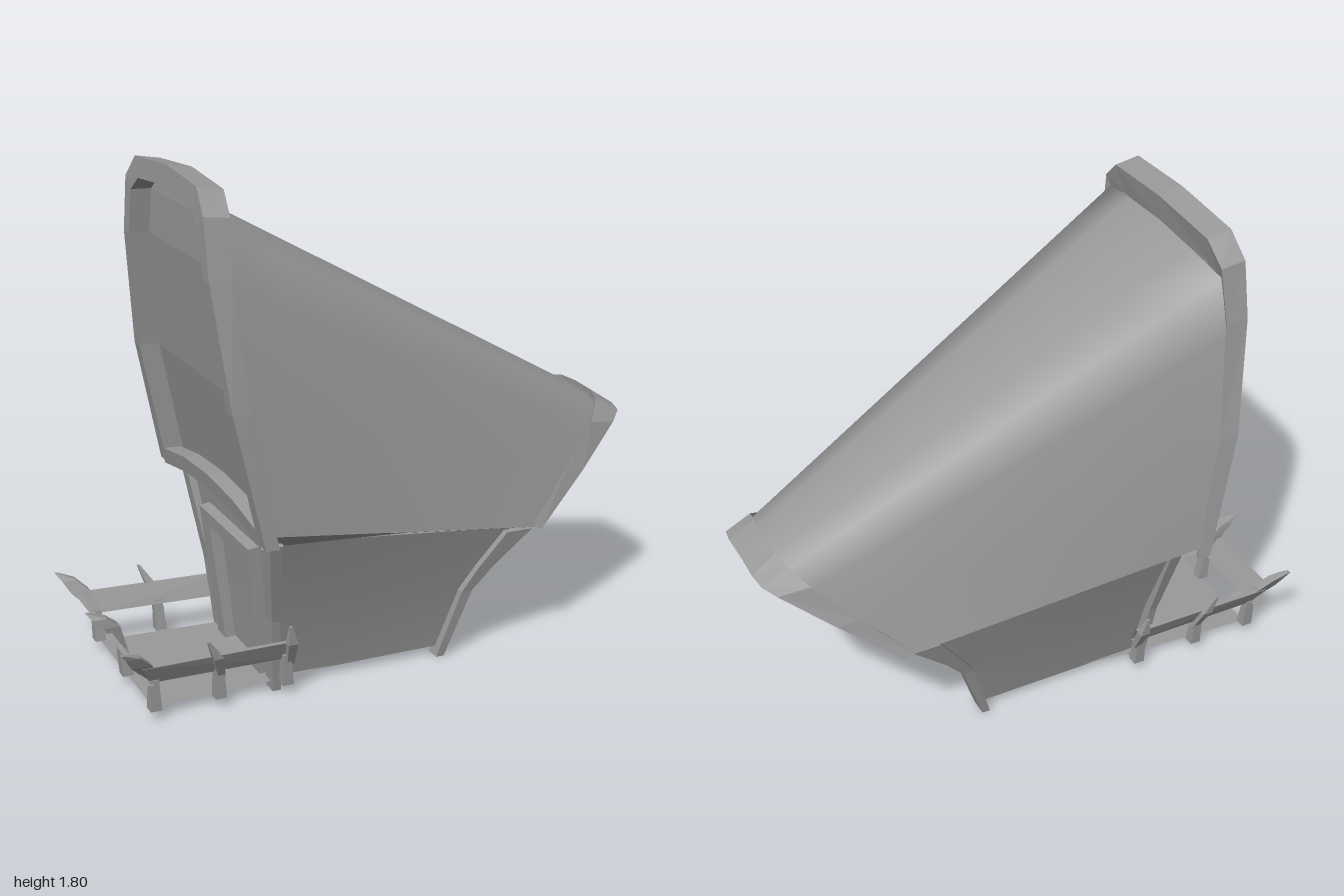
import * as THREE from 'three';

const color = 0x9a9a9a;
const mat = new THREE.MeshStandardMaterial({ color, side: THREE.DoubleSide });
const flatMat = new THREE.MeshStandardMaterial({ color, side: THREE.DoubleSide, flatShading: true });

// Surface through rows of [x, y, z] points, all rows of equal length
function surface(rows, capped = false) {
  const n = rows[0].length, idx = [];
  for (let r = 0; r < rows.length - 1; r++) {
    for (let i = 0; i < n - 1; i++) {
      const a = r * n + i, b = a + n;
      idx.push(a, b, a + 1, a + 1, b, b + 1);
    }
  }
  if (capped) {
    const e = (rows.length - 1) * n;
    idx.push(0, 1, 2, 0, 2, 3, e, e + 2, e + 1, e, e + 3, e + 2);
  }
  const g = new THREE.BufferGeometry();
  g.setAttribute('position', new THREE.Float32BufferAttribute(rows.flat(2), 3));
  g.setIndex(idx);
  g.computeVertexNormals();
  return g;
}

// Post through [x, y, z, widthX, widthZ] stations
const post = (stations) => surface(stations.map(([x, y, z, w, d]) =>
  [[-1, -1], [-1, 1], [1, 1], [1, -1], [-1, -1]].map(([i, k]) => [x + i * w / 2, y, z + k * d / 2])), true);

// Half profile (eave to ridge) completed by its mirror image
const full = (half) => [...half, ...half.slice(0, -1).reverse().map(([x, y, z]) => [x, y, -z])];
const flip = (pts) => pts.map(([x, y, z, ...rest]) => [x, y, -z, ...rest]);
// Inset copy of a half profile; the drop grows towards the ridge
const inset = (pts, dx, dy, dz) => pts.map(([x, y, z], i) => [x + dx, y + dy * i / 5, Math.max(0, z + dz)]);

export function createModel() {
  const group = new THREE.Group();
  const add = (name, geometry, material = flatMat) => {
    const m = new THREE.Mesh(geometry, material);
    m.name = name;
    group.add(m);
  };

  // Tapering roof shell
  const roofTall = [[-0.5, 0.66, 0.505], [-0.59, 1.08, 0.475], [-0.62, 1.45, 0.415], [-0.6, 1.65, 0.365], [-0.58, 1.685, 0.2], [-0.58, 1.695, 0]];
  const roofLow = [[0.55, 0.475, 0.36], [0.71, 0.62, 0.29], [0.85, 0.76, 0.22], [0.91, 0.82, 0.16], [0.92, 0.84, 0.08], [0.92, 0.845, 0]];
  const roofRows = [];
  for (let s = 0; s <= 8; s++) {
    const t = s / 8;
    roofRows.push(full(roofTall.map((p, i) => p.map((v, k) => v + (roofLow[i][k] - v) * t))));
  }
  add('roof', surface(roofRows), mat);

  // Raised rim around the tall end, flush with the roof lower down
  const rimBack = [[-0.54, 0.62, 0.512], [-0.635, 1.08, 0.485], [-0.68, 1.5, 0.42], [-0.68, 1.7, 0.38], [-0.67, 1.78, 0.3], [-0.665, 1.8, 0]];
  const rimFront = [[-0.49, 0.615, 0.506], [-0.57, 1.08, 0.477], [-0.6, 1.5, 0.416], [-0.59, 1.69, 0.38], [-0.58, 1.765, 0.3], [-0.575, 1.785, 0]];
  const rimInner = [[-0.54, 0.62, 0.45], [-0.635, 1.08, 0.43], [-0.68, 1.5, 0.365], [-0.68, 1.66, 0.33], [-0.675, 1.71, 0.26], [-0.67, 1.73, 0]];
  const recess = inset(rimInner, 0.07, 0, -0.01);
  add('tallEndRim', surface([inset(rimFront, -0.02, -0.12, -0.03), rimFront, rimBack, rimInner, recess].map(full)));
  add('gableWall', surface([recess, flip(recess)]));

  // Arched sill below the gable wall
  const sill = (x, y) => [0.47, 0.24, 0, -0.24, -0.47].map((z) => [x, y + 0.05 * (1 - (z / 0.47) ** 2), z]);
  add('gableSill', surface([sill(-0.49, 0.67), sill(-0.55, 0.67), sill(-0.54, 0.61), sill(-0.46, 0.61)]));

  // Hood rim around the low open end
  const hoodBack = [[0.53, 0.48, 0.362], [0.7, 0.64, 0.298], [0.84, 0.785, 0.23], [0.9, 0.85, 0.16], [0.91, 0.865, 0.1], [0.91, 0.87, 0]];
  const hoodTip = [[0.57, 0.465, 0.362], [0.78, 0.63, 0.285], [0.95, 0.765, 0.205], [0.99, 0.795, 0.17], [1, 0.805, 0.11], [1, 0.81, 0]];
  add('hoodRim', surface([inset(hoodBack, 0, -0.04, -0.015), hoodBack, hoodTip,
    inset(hoodTip, -0.01, -0.025, -0.015), inset(hoodBack, -0.02, -0.06, -0.02)].map(full)));

  // Side walls, eaves, corner posts and fence sides, mirrored front to back
  for (const side of [1, -1]) {
    const m = (pts) => (side > 0 ? pts : flip(pts));
    const label = side > 0 ? 'front' : 'back';
    // Eave folding under the roof, with a ledge inside the wall
    add(label + 'Eave', surface([
      m([[-0.5, 0.665, 0.505], [0, 0.57, 0.435], [0.55, 0.475, 0.36]]),
      m([[-0.47, 0.597, 0.43], [0, 0.55, 0.385], [0.51, 0.47, 0.335]]),
      m([[-0.46, 0.605, 0.37], [0, 0.56, 0.33], [0.49, 0.485, 0.295]])]));
    add(label + 'Wall', surface([
      m([[-0.42, 0.03, 0.24], [-0.1, 0.03, 0.24], [0.22, 0.03, 0.24]]),
      m([[-0.435, 0.27, 0.295], [-0.06, 0.27, 0.288], [0.32, 0.27, 0.28]]),
      m([[-0.45, 0.597, 0.41], [0, 0.538, 0.37], [0.46, 0.477, 0.33]])]), mat);
    add(label + 'DoorwayPost', post(m([
      [0.22, 0, 0.24, 0.03, 0.06], [0.305, 0.25, 0.275, 0.04, 0.06],
      [0.37, 0.34, 0.295, 0.06, 0.06], [0.485, 0.47, 0.325, 0.1, 0.06]])));
    add(label + 'PorchPost', post(m([
      [-0.415, 0, 0.25, 0.03, 0.06], [-0.435, 0.28, 0.3, 0.03, 0.06], [-0.475, 0.66, 0.41, 0.05, 0.06]])));

    // Fence rail leaning outwards
    add(label + 'FenceRail', surface([
      m([[-0.88, 0.14, 0.32], [-0.37, 0.13, 0.31]]), m([[-0.92, 0.21, 0.355], [-0.37, 0.2, 0.34]]),
      m([[-0.92, 0.21, 0.335], [-0.37, 0.2, 0.32]]), m([[-0.88, 0.14, 0.3], [-0.37, 0.13, 0.29]]),
      m([[-0.88, 0.14, 0.32], [-0.37, 0.13, 0.31]])]));
    for (const x of [-0.865, -0.635, -0.39]) {
      add(label + 'FencePost', post(m([[x, 0.035, 0.305, 0.04, 0.04], [x - 0.005, 0.15, 0.315, 0.03, 0.03]])));
    }
    // Curved fence spikes
    add(label + 'CornerSpike', post(m([
      [-0.87, 0.15, 0.305, 0.03, 0.025], [-0.92, 0.22, 0.34, 0.07, 0.035],
      [-0.955, 0.262, 0.36, 0.05, 0.035], [-0.993, 0.285, 0.378, 0.01, 0.015]])));
    for (const [x, lean] of [[-0.63, 0.06], [-0.38, 0.015]]) {
      add(label + 'SideSpike', post(m([
        [x, 0.11, 0.31, 0.025, 0.025], [x - lean * 0.4, 0.2, 0.35, 0.035, 0.03], [x - lean, 0.27, 0.365, 0.01, 0.01]])));
    }
  }

  // Porch wall of the house
  add('porchWall', surface([
    [[-0.41, 0.03, 0.24], [-0.41, 0.03, -0.24]],
    [[-0.43, 0.28, 0.29], [-0.43, 0.28, -0.29]],
    [[-0.47, 0.66, 0.4], [-0.47, 0.66, -0.4]]]));

  // Door frame, wider at the top, standing proud of both wall faces
  const outline = (path, b, t, y0, y1) => {
    path.moveTo(-b, y0);
    path.lineTo(b, y0);
    path.lineTo(t, y1);
    path.lineTo(-t, y1);
    path.closePath();
    return path;
  };
  const frame = outline(new THREE.Shape(), 0.2, 0.235, 0, 0.49);
  frame.holes.push(outline(new THREE.Path(), 0.125, 0.15, 0.005, 0.435));
  const frameGeo = new THREE.ExtrudeGeometry(frame, { depth: 0.05, bevelEnabled: false });
  frameGeo.rotateY(-Math.PI / 2).rotateZ(0.1).translate(-0.397, 0.035, 0);
  add('doorFrame', frameGeo);

  // Porch floor
  add('porchFloor', surface([
    [[-0.865, 0.035, 0.295], [-0.865, 0.035, -0.295]],
    [[-0.45, 0.035, 0.27], [-0.45, 0.035, -0.27]],
    [[-0.11, 0.035, 0.23], [-0.11, 0.035, -0.23]]]));

  // Fence across the end of the porch
  add('endFenceRail', surface([[-0.895, 0.14], [-0.94, 0.21], [-0.92, 0.21], [-0.875, 0.14], [-0.895, 0.14]]
    .map(([x, y]) => [[x, y, 0.34], [x, y, -0.34]])));
  add('endFencePost', post([[-0.865, 0.035, 0.01, 0.04, 0.04], [-0.88, 0.15, 0.01, 0.03, 0.03]]));
  add('endSpike', post([
    [-0.88, 0.14, 0.01, 0.03, 0.03], [-0.92, 0.23, 0.015, 0.06, 0.045], [-0.96, 0.265, 0.015, 0.05, 0.04], [-0.998, 0.285, 0.01, 0.01, 0.02]]));

  return group;
}
